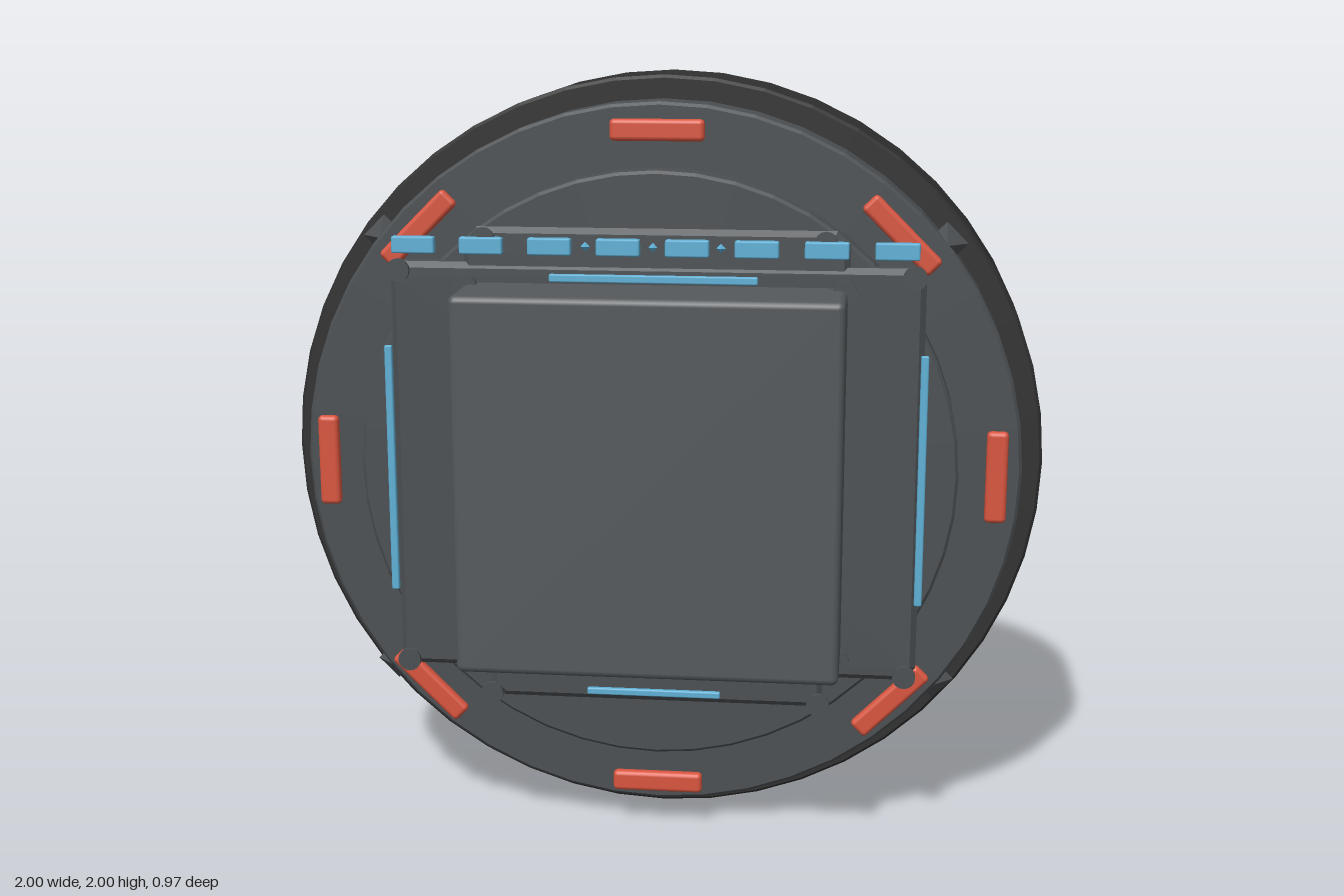
import * as THREE from 'three';
import { RoundedBoxGeometry } from 'three/addons/geometries/RoundedBoxGeometry.js';

export function createModel() {
  const model = new THREE.Group();
  model.name = 'hatchModule';

  const mat = (name, color, flatShading = false) => {
    const m = new THREE.MeshStandardMaterial({ color, flatShading });
    m.name = name;
    return m;
  };
  const rubber = mat('dark rim', 0x303030, true);
  const steel = mat('steel grey', 0x4c5053, true);
  const casing = mat('casing grey', 0x55595c);
  const blue = mat('light blue', 0x5fb0d6);
  const red = mat('signal red', 0xd9553f);

  const add = (name, geometry, material, x, y, z, rz = 0) => {
    const mesh = new THREE.Mesh(geometry, material);
    mesh.name = name;
    mesh.position.set(x, y, z);
    mesh.rotation.z = rz;
    model.add(mesh);
    return mesh;
  };

  // Round body: lathe profiles with small chamfers, turned to face +z
  const disc = (name, r, z0, z1, material, c = 0.008) => {
    const profile = [[0, z0], [r - c, z0], [r, z0 + c], [r, z1 - c], [r - c, z1], [0, z1]]
      .map(([a, b]) => new THREE.Vector2(a, b));
    const g = new THREE.LatheGeometry(profile, 48);
    g.rotateX(Math.PI / 2);
    return add(name, g, material, 0, 1, 0);
  };
  disc('outerRim', 1, -0.23, 0.035, rubber);
  disc('mountingRing', 0.94, 0.03, 0.16, steel);
  disc('innerDisc', 0.775, 0.15, 0.24, steel);

  // Bevelled front plates
  const plate = (name, w, h, y, z0, z1) => {
    const b = 0.015;
    const s = new THREE.Shape();
    const x = w / 2 - b, t = h / 2 - b, k = 0.025;
    s.moveTo(-x + k, -t);
    s.lineTo(x - k, -t);
    s.lineTo(x, -t + k);
    s.lineTo(x, t - k);
    s.lineTo(x - k, t);
    s.lineTo(-x + k, t);
    s.lineTo(-x, t - k);
    s.lineTo(-x, -t + k);
    s.closePath();
    const g = new THREE.ExtrudeGeometry(s, {
      depth: z1 - z0 - 2 * b, bevelSize: b, bevelThickness: b, bevelSegments: 1,
    });
    add(name, g, steel, 0, y, z0 + b);
  };
  plate('frontPlate', 1.36, 1.08, 1, 0.2, 0.262);
  plate('upperPlate', 0.98, 0.3, 1.48, 0.2, 0.255);
  plate('lowerPlate', 0.88, 0.3, 0.525, 0.2, 0.255);

  // Central block running through the whole body
  add('centralBlock', new RoundedBoxGeometry(0.97, 0.97, 0.97, 2, 0.018), casing, 0, 1.005, 0);

  // Eight red markers around the ring
  const markerGeo = new RoundedBoxGeometry(0.24, 0.055, 0.03, 2, 0.012);
  for (let i = 0; i < 8; i++) {
    const a = i * Math.PI / 4;
    add('redMarker', markerGeo, red, Math.cos(a) * 0.872, 1 + Math.sin(a) * 0.872, 0.2, a + Math.PI / 2);
  }

  // Row of blue lamps above the plate, with small beads between the middle ones
  const lampGeo = new RoundedBoxGeometry(0.11, 0.043, 0.026, 1, 0.005);
  for (let i = 0; i < 8; i++) add('blueLamp', lampGeo, blue, (i - 3.5) * 0.173, 1.59, 0.305);
  const beadGeo = new THREE.OctahedronGeometry(0.012);
  for (const x of [-0.17, 0, 0.17]) add('lampBead', beadGeo, blue, x, 1.59, 0.297);

  // Thin blue strips
  const strip = (x, y, w, h) =>
    add('blueStrip', new RoundedBoxGeometry(w, h, 0.016, 1, 0.004), blue, x, y, 0.298);
  strip(-0.68, 1.005, 0.02, 0.65);
  strip(0.68, 1.005, 0.02, 0.65);
  strip(0, 1.51, 0.525, 0.02);
  strip(0, 0.502, 0.525, 0.02);
  strip(0, 0.417, 0.35, 0.018);

  // Mirrored bolt heads and rim studs
  const boltGeo = new THREE.CylinderGeometry(0.03, 0.03, 0.012, 16);
  boltGeo.rotateX(Math.PI / 2);
  const studGeo = new THREE.OctahedronGeometry(0.055);
  for (const s of [-1, 1]) {
    for (const [x, y] of [[0.65, 1.523], [0.65, 0.485], [0.43, 0.4], [0.43, 1.605], [0.478, 1.487], [0.478, 0.523]]) {
      add('boltHead', boltGeo, steel, s * x, y, 0.297);
    }
    for (const y of [1.585, 0.415]) add('rimStud', studGeo, steel, s * 0.73, y, 0.1);
  }

  return model;
}
